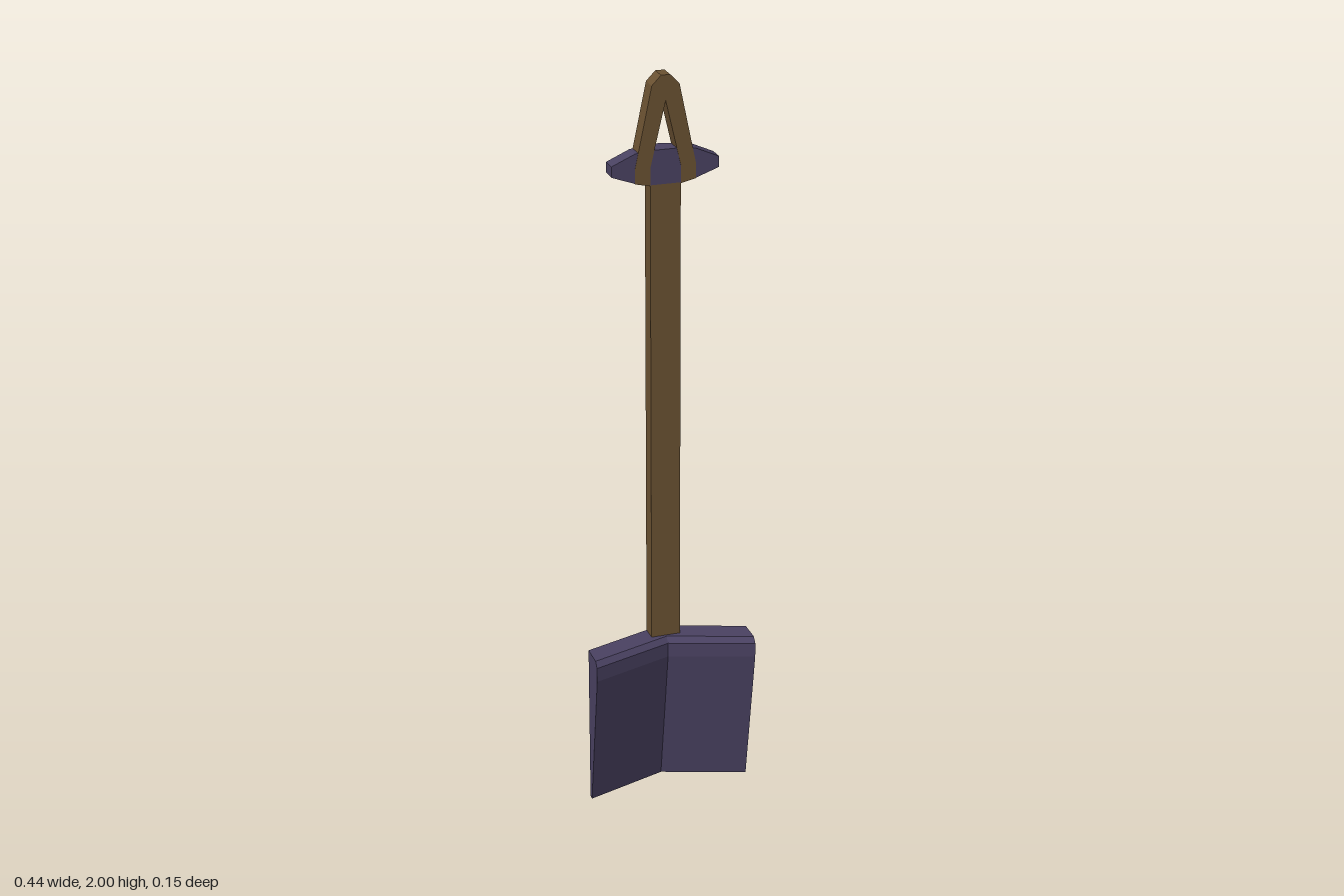
import * as THREE from 'three';

const BACK = -0.064, FRONT = -0.02, RIDGE = -0.077;

// Extrude a closed outline of [x, y] points along z, from z0 to z1
function extrude(points, z0, z1, steps = 1) {
  const shape = new THREE.Shape(points.map(([x, y]) => new THREE.Vector2(x, y)));
  const geo = new THREE.ExtrudeGeometry(shape, { depth: z1 - z0, steps, bevelEnabled: false });
  return geo.translate(0, 0, z0);
}

// Upright bar with a flat front and a ridged back
function ridgedBar(y0, y1) {
  const w = 0.04;
  const outline = [[-w, -FRONT], [0, -FRONT], [w, -FRONT], [w, -BACK], [0, -RIDGE], [-w, -BACK]];
  return extrude(outline, y0, y1).rotateX(-Math.PI / 2);
}

export function createModel() {
  const group = new THREE.Group();
  const wood = new THREE.MeshStandardMaterial({ color: 0x6b5232, flatShading: true });
  const metal = new THREE.MeshStandardMaterial({ color: 0x4a4262, flatShading: true });
  const add = (name, geo, mat) => {
    const mesh = new THREE.Mesh(geo, mat);
    mesh.name = name;
    group.add(mesh);
  };

  // Blade: side profile swept across x, then folded into a shallow V
  const profile = [[RIDGE, 0], [-0.063, 0], [0, 0.395], [0, 0.435], [-0.013, 0.45], [RIDGE, 0.45]];
  const blade = extrude(profile, -0.222, 0.222, 2).rotateY(-Math.PI / 2);
  const pos = blade.attributes.position;
  for (let i = 0; i < pos.count; i++) pos.setZ(i, pos.getZ(i) + Math.abs(pos.getX(i)) * 0.338);
  blade.computeVertexNormals();
  add('blade', blade, metal);

  // Shaft
  add('shaft', ridgedBar(0.44, 1.72), wood);

  // Crossguard with the shaft's ridge carried over its back
  const guardHalf = [[0.04, 1.72], [0.08, 1.728], [0.141, 1.75], [0.141, 1.778], [0.08, 1.805], [0.04, 1.81]];
  const mirrored = guardHalf.map(([x, y]) => [-x, y]).reverse();
  add('crossguard', extrude([...guardHalf, ...mirrored], BACK, FRONT), metal);
  add('crossguardRidge', ridgedBar(1.721, 1.809), metal);

  // Forked grip: two leaning prongs meeting at a chamfered top
  const outer = [[0.04, 1.718], [0.08, 1.727], [0.08, 1.765], [0.036, 1.975], [0.012, 2]];
  const left = outer.map(([x, y]) => [-x, y]).reverse();
  const grip = [...outer, ...left, [-0.04, 1.765], [0, 1.935], [0.04, 1.765]];
  add('grip', extrude(grip, BACK - 0.001, FRONT + 0.001), wood);

  return group;
}
